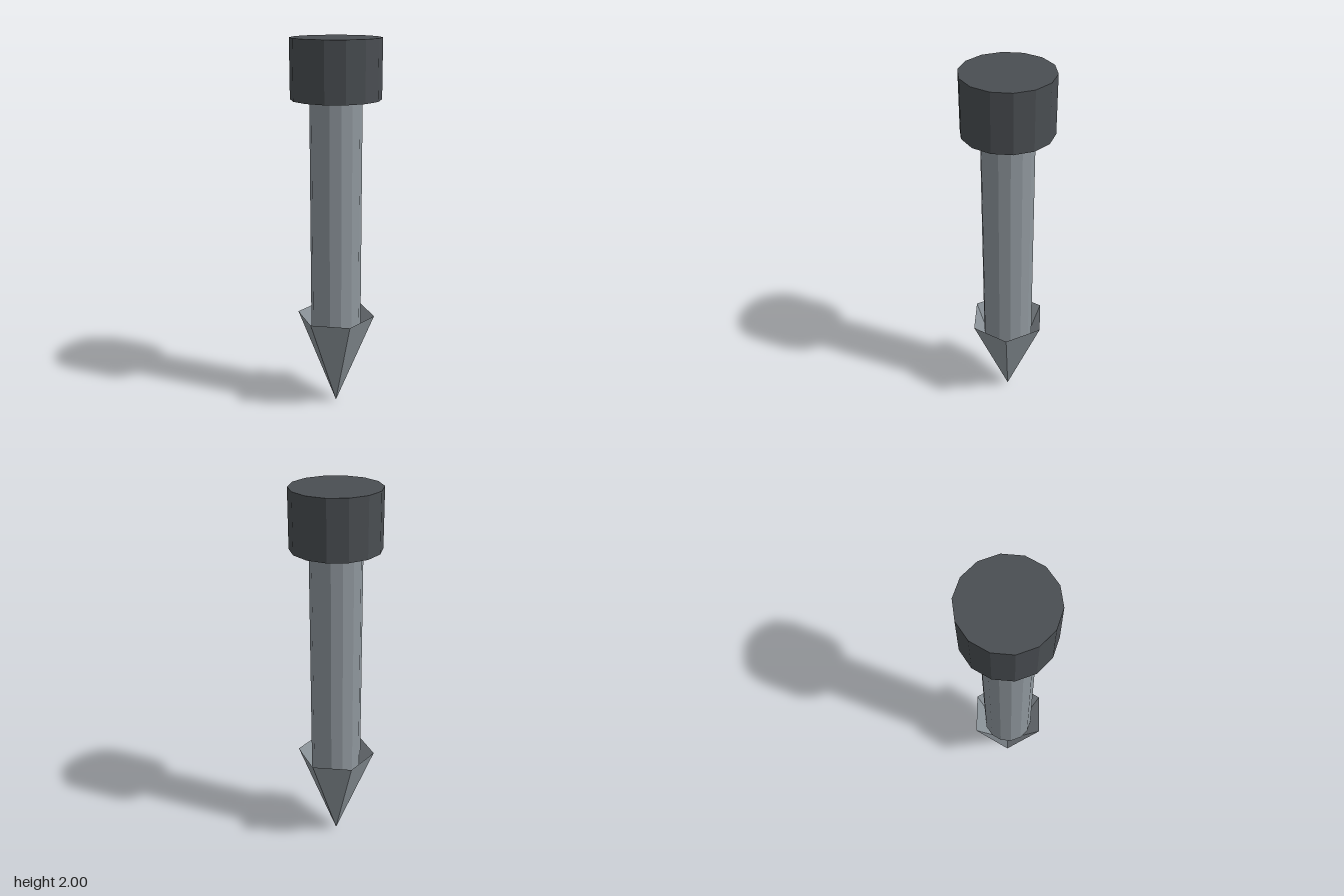
import * as THREE from 'three';

export function createModel() {
  const group = new THREE.Group();

  const darkGrey = new THREE.MeshStandardMaterial({ color: 0x4a4e52, flatShading: true });
  const steel = new THREE.MeshStandardMaterial({ color: 0x8f979d, flatShading: true });
  steel.name = 'steel';
  darkGrey.name = 'darkGrey';
  steel.side = THREE.DoubleSide; // the point is an open shell

  // Faceted prism or cone between two heights, with one corner on +x
  function addRound(name, rTop, rBottom, y0, y1, sides, open, material) {
    const geometry = new THREE.CylinderGeometry(
      rTop, rBottom, y1 - y0, sides, 1, open, Math.PI / 2);
    const mesh = new THREE.Mesh(geometry, material);
    mesh.name = name;
    mesh.position.y = (y0 + y1) / 2;
    group.add(mesh);
  }

  addRound('head', 0.233, 0.233, 1.695, 2, 14, false, darkGrey);
  addRound('shaft', 0.135, 0.135, 0.42, 1.7, 14, false, steel);
  // Six-sided hollow point, open at the top around the shaft
  addRound('point', 0.21, 0, 0, 0.525, 6, true, steel);

  return group;
}
